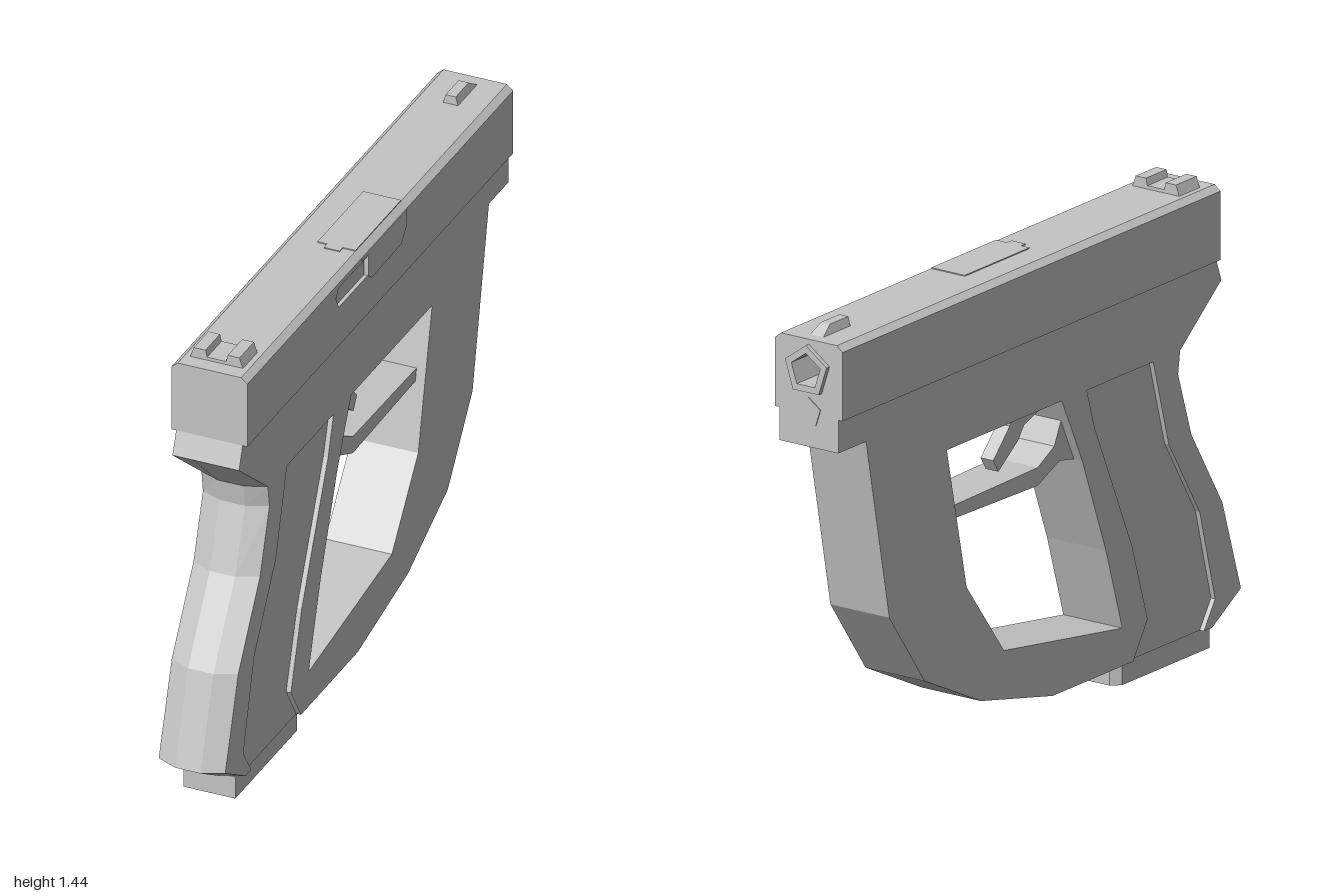
import * as THREE from 'three';

const grey = new THREE.MeshStandardMaterial({ color: 0xc4c4c4 });
grey.name = 'plain grey';

// Outlines are always wound counter-clockwise so that hole walls face inwards
function toShape(pts) {
  const v = pts.map(([a, b]) => new THREE.Vector2(a, b));
  return new THREE.Shape(THREE.ShapeUtils.isClockWise(v) ? v.reverse() : v);
}

function extrude(pts, depth, hole) {
  const shape = toShape(pts);
  if (hole) shape.holes.push(toShape(hole));
  return new THREE.ExtrudeGeometry(shape, { depth, bevelEnabled: false });
}

// Side profile given as [z, y], extruded across x and centred on cx
function profile(pts, width, cx = 0, hole = null) {
  return extrude(pts, width, hole).translate(0, 0, -width / 2).rotateY(-Math.PI / 2).translate(cx, 0, 0);
}

// Cross-section given as [x, y], extruded from z0 to z1
function section(pts, z0, z1, hole = null) {
  return extrude(pts, z1 - z0, hole).translate(0, 0, z0);
}

const pentagon = (r, cy) => Array.from({ length: 5 }, (_, i) => {
  const a = Math.PI / 2 + (i * Math.PI * 2) / 5;
  return [r * Math.cos(a), cy + r * Math.sin(a)];
});

export function createModel() {
  const model = new THREE.Group();
  const add = (name, geometry) => {
    const m = new THREE.Mesh(geometry, grey);
    m.name = name;
    model.add(m);
  };

  // Frame outline, split so the side skins can carry the panel recess
  const rear = [[0.85, 1.18], [0.875, 1.11], [0.675, 0.95], [0.665, 0.88], [0.73, 0.68], [0.88, 0.436], [0.97, 0.153], [0.83, 0.07]];
  const lower = [[0.056, 0.07], [-0.292, 0.147], [-0.566, 0.28], [-0.737, 0.517], [-0.85, 1.08], [-0.985, 1.08], [-0.985, 1.18]];
  const recess = [[0.79, 0.07], [0.845, 0.153], [0.77, 0.436], [0.62, 0.68], [0.544, 0.95],
    [0.222, 0.95], [0.26, 0.827], [0.442, 0.42], [0.517, 0.18], [0.447, 0.07]];
  const opening = [[0.394, 0.185], [-0.18, 0.27], [-0.362, 0.51], [-0.458, 0.95], [0.1, 0.95],
    [0.137, 0.875], [0.2, 0.742], [0.315, 0.44]];
  add('frameCore', profile([...rear, ...lower], 0.18, 0, opening));
  for (const s of [-1, 1]) {
    add(s > 0 ? 'leftFrameSkin' : 'rightFrameSkin',
      profile([...rear, ...recess, ...lower], 0.015, s * 0.0975, opening));
  }

  // Faceted backstrap: rows of [outer z, inner z, y]
  const rows = [[0.875, 0.875, 1.11], [0.70, 0.675, 0.95], [0.692, 0.665, 0.88], [0.76, 0.73, 0.68],
    [0.91, 0.88, 0.436], [1.0, 0.97, 0.153], [0.86, 0.83, 0.07], [0.83, 0.83, 0.07]];
  const pos = [];
  const index = [];
  rows.forEach(([zo, zi, y], r) => {
    pos.push(-0.105, y, zi, -0.04, y, zo, 0.04, y, zo, 0.105, y, zi);
    if (r === 0) return;
    for (let c = 0; c < 3; c++) {
      const a = (r - 1) * 4 + c;
      index.push(a, a + 4, a + 1, a + 1, a + 4, a + 5);
    }
  });
  const indexed = new THREE.BufferGeometry();
  indexed.setAttribute('position', new THREE.Float32BufferAttribute(pos, 3));
  indexed.setIndex(index);
  const backstrap = indexed.toNonIndexed();
  backstrap.computeVertexNormals();
  add('backstrap', backstrap);

  // Trigger and guard bar
  add('guardBar', profile([[0.2, 0.742], [0.13, 0.755], [0.024, 0.708], [-0.42, 0.718], [-0.42, 0.757],
    [0.024, 0.763], [0.105, 0.806], [0.137, 0.875]], 0.15));
  add('trigger', profile([[0.1, 0.955], [0.1, 0.905], [0.03, 0.88], [0, 0.84], [-0.095, 0.772],
    [-0.12, 0.812], [-0.04, 0.895], [-0.036, 0.955]], 0.045));

  // Base plate with two clipped corners
  add('basePlate', extrude([[-0.082, -0.85], [0.082, -0.85], [0.082, -0.425], [0.055, -0.4],
    [-0.055, -0.4], [-0.082, -0.425]], 0.072).rotateX(-Math.PI / 2));

  // Slide with chamfered top edges, a rebated left side and a hollow front end
  const slide = [[-0.12, 1.18], [0.108, 1.18], [0.108, 1.376], [0.12, 1.376], [0.12, 1.388],
    [0.1, 1.405], [-0.1, 1.405], [-0.12, 1.388]];
  add('slide', section(slide, -0.88, 0.85));
  add('slideFront', section(slide, -0.985, -0.88, pentagon(0.055, 1.312)));
  add('barrelRim', section(pentagon(0.078, 1.312), -1.0, -0.9, pentagon(0.054, 1.312)));
  add('rodPlug', section(pentagon(0.045, 1.185), -0.988, -0.95));

  // Left slide skin with the slot behind the port
  add('slideSkin', profile([[-0.985, 1.18], [0.85, 1.18], [0.85, 1.376], [-0.985, 1.376]], 0.012, 0.114,
    [[0.238, 1.345], [0.22, 1.308], [0.02, 1.308], [0.02, 1.372], [0.22, 1.372]]));

  // Port cover on the left side and top
  add('portSidePlate', profile([[0.02, 1.308], [-0.005, 1.288], [-0.21, 1.292], [-0.247, 1.335],
    [-0.247, 1.388], [0.062, 1.388], [0.062, 1.376], [0.02, 1.376]], 0.006, 0.119));
  add('portTopPlate', extrude([[-0.02, 0.255], [0.1, 0.255], [0.1, -0.06], [0.06, -0.06], [0.06, -0.082],
    [0.01, -0.082], [0.01, -0.06], [-0.02, -0.06]], 0.006).rotateX(-Math.PI / 2).translate(0, 1.402, 0));

  // Sights
  add('rearSight', section([[-0.085, 1.4], [0.085, 1.4], [0.072, 1.437], [0.035, 1.437], [0.03, 1.415],
    [-0.03, 1.415], [-0.035, 1.437], [-0.072, 1.437]], 0.7, 0.8));
  const frontSight = section([[-0.025, 1.4], [0.025, 1.4], [0.016, 1.432], [-0.016, 1.432]], -0.955, -0.815);
  const p = frontSight.attributes.position;
  for (let i = 0; i < p.count; i++) {
    if (p.getY(i) > 1.42 && p.getZ(i) < -0.9) p.setZ(i, -0.905);
  }
  frontSight.computeVertexNormals();
  add('frontSight', frontSight);

  return model;
}
